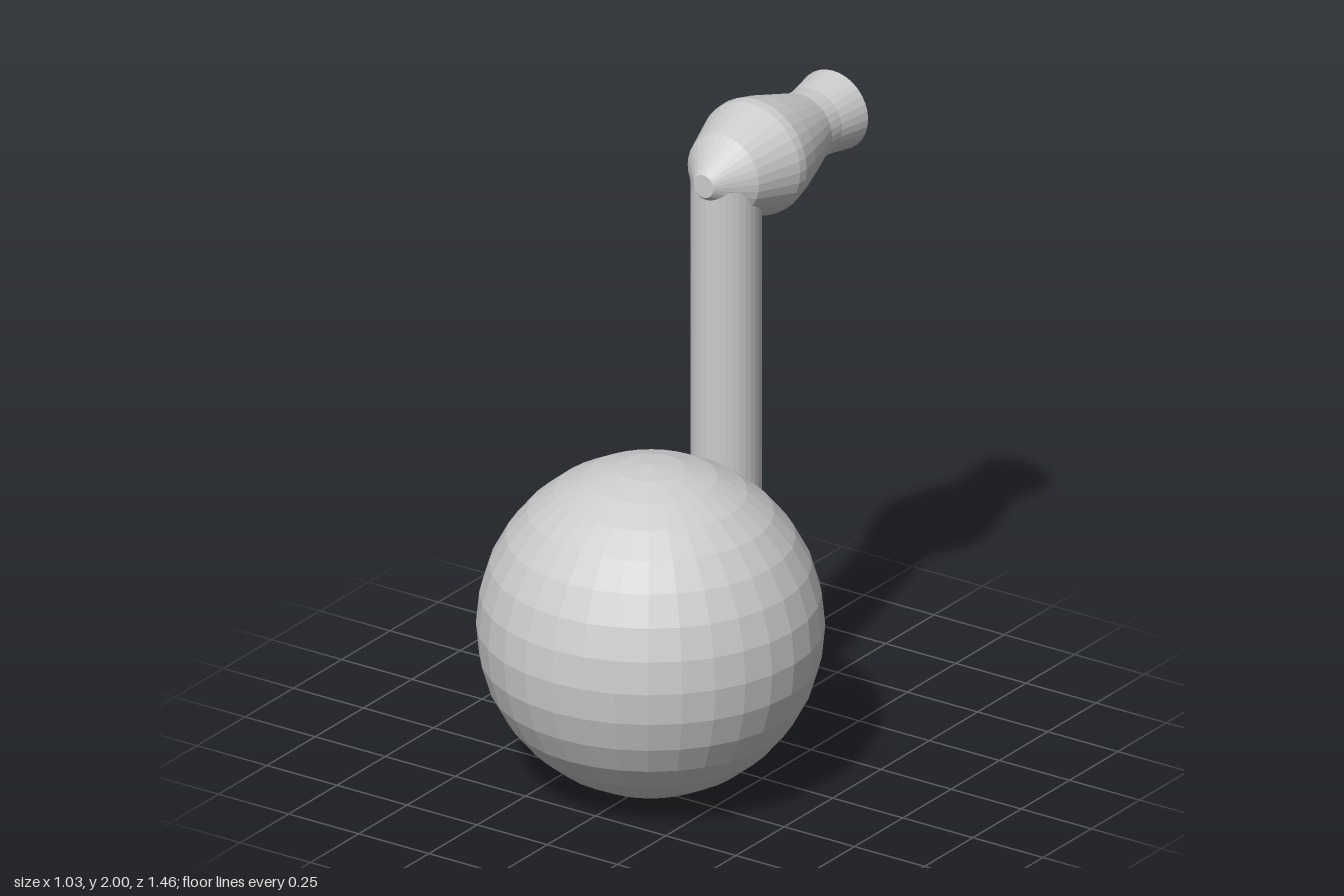
import * as THREE from 'three';

export function createModel() {
  const group = new THREE.Group();
  const material = new THREE.MeshStandardMaterial({ color: 0xcccccc, flatShading: true });

  const add = (name, geometry, x, y, z) => {
    const mesh = new THREE.Mesh(geometry, material);
    mesh.name = name;
    mesh.position.set(x, y, z);
    group.add(mesh);
    return mesh;
  };

  // Round body resting on the ground
  add('body', new THREE.SphereGeometry(0.513, 32, 16), 0, 0.514, 0.216);

  // Upright neck, sunk into the body and the head
  const bottom = 0.5, top = 1.8;
  add('neck', new THREE.CylinderGeometry(0.105, 0.105, top - bottom, 32), 0, (top + bottom) / 2, -0.175);

  // Head: turned profile of [radius, z] from the flared back to the blunt nose
  const profile = [
    [0, -0.728], [0.125, -0.728], [0.106, -0.62], [0.108, -0.565], [0.131, -0.5],
    [0.163, -0.4], [0.18, -0.33], [0.178, -0.3], [0.127, -0.16], [0.036, -0.057], [0, -0.057],
  ].map(([r, z]) => new THREE.Vector2(r, z));
  const head = add('head', new THREE.LatheGeometry(profile, 32), 0, 1.82, 0);
  head.rotation.x = Math.PI / 2;

  return group;
}
